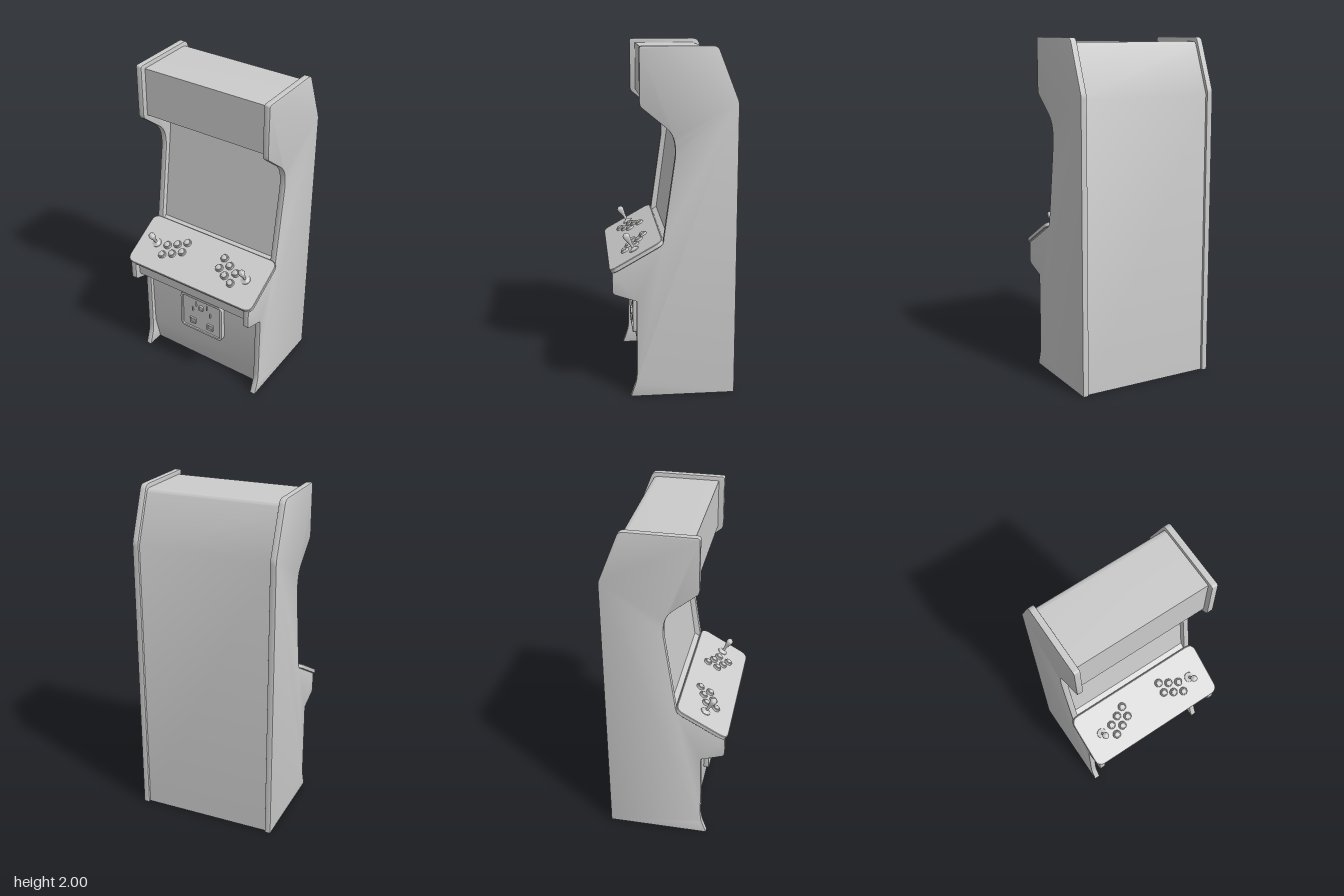
import * as THREE from 'three';
import { toCreasedNormals } from 'three/addons/utils/BufferGeometryUtils.js';

const grey = new THREE.MeshStandardMaterial({ color: 0xcccccc });

function add(parent, name, geometry, x = 0, y = 0, z = 0) {
  const mesh = new THREE.Mesh(geometry, grey);
  mesh.name = name;
  mesh.position.set(x, y, z);
  parent.add(mesh);
  return mesh;
}

// Extrudes a side profile drawn in (z, y) across the width, centred on x = 0
function acrossWidth(shape, width, bevel = 0) {
  const g = new THREE.ExtrudeGeometry(shape, {
    depth: width - 2 * bevel, curveSegments: 6, bevelEnabled: bevel > 0,
    bevelSize: bevel, bevelThickness: bevel, bevelOffset: -bevel, bevelSegments: 2,
  });
  g.translate(0, 0, bevel - width / 2);
  g.rotateY(-Math.PI / 2);
  return toCreasedNormals(g, 0.6);
}

function roundedRect(w, h, r, Type = THREE.Shape) {
  const s = new Type(), x = w / 2, y = h / 2;
  s.moveTo(-x + r, -y);
  s.lineTo(x - r, -y).quadraticCurveTo(x, -y, x, -y + r);
  s.lineTo(x, y - r).quadraticCurveTo(x, y, x - r, y);
  s.lineTo(-x + r, y).quadraticCurveTo(-x, y, -x, y - r);
  s.lineTo(-x, -y + r).quadraticCurveTo(-x, -y, -x + r, -y);
  return s;
}

// Rounded frame with an opening, facing +z
function frame(w, h, r, border, depth, bevel) {
  const s = roundedRect(w, h, r);
  s.holes.push(roundedRect(w - 2 * border, h - 2 * border, Math.max(r - border, 0.003), THREE.Path));
  return toCreasedNormals(new THREE.ExtrudeGeometry(s, {
    depth: depth - bevel, curveSegments: 5, bevelEnabled: true,
    bevelSize: bevel, bevelThickness: bevel, bevelOffset: -bevel, bevelSegments: 2,
  }), 0.6);
}

function lathe(points, segments = 24) {
  const g = new THREE.LatheGeometry(points.map(([r, y]) => new THREE.Vector2(r, y)), segments);
  return toCreasedNormals(g, 0.7);
}

function sideProfile() {
  const s = new THREE.Shape();
  s.moveTo(-0.36, 0);
  s.lineTo(0.243, 0);
  s.lineTo(0.216, 0.08).quadraticCurveTo(0.208, 0.11, 0.207, 0.15);
  s.lineTo(0.205, 0.58);
  s.lineTo(0.325, 0.622).quadraticCurveTo(0.342, 0.628, 0.342, 0.645);
  s.lineTo(0.342, 0.757);
  s.lineTo(0.055, 0.92);
  s.lineTo(0.052, 0.95);
  s.lineTo(-0.012, 1.41);
  s.bezierCurveTo(-0.014, 1.49, 0, 1.53, 0.04, 1.565);
  s.lineTo(0.17, 1.672).quadraticCurveTo(0.183, 1.684, 0.183, 1.705);
  s.lineTo(0.183, 1.985).quadraticCurveTo(0.183, 2, 0.168, 2);
  s.lineTo(-0.21, 2).quadraticCurveTo(-0.24, 2, -0.25, 1.975);
  s.lineTo(-0.355, 1.71).quadraticCurveTo(-0.36, 1.695, -0.36, 1.68);
  s.closePath();
  return s;
}

function bodyProfile() {
  const s = new THREE.Shape();
  s.moveTo(-0.345, 0);
  s.lineTo(0.14, 0);
  s.lineTo(0.178, 0.17);
  s.lineTo(0.183, 0.59);
  s.lineTo(0.305, 0.65);
  s.lineTo(0.312, 0.765);
  s.lineTo(0.02, 0.93);
  s.lineTo(-0.067, 1.585);
  s.lineTo(0.15, 1.69);
  s.lineTo(0.15, 1.975);
  s.lineTo(-0.205, 1.975).quadraticCurveTo(-0.23, 1.975, -0.238, 1.955);
  s.lineTo(-0.345, 1.68);
  s.closePath();
  return s;
}

// Sloped deck; local y is its normal, local z runs down towards the player
function createControlDeck() {
  const deck = new THREE.Group();
  deck.name = 'controlDeck';
  const slope = Math.atan2(0.17, 0.3), run = Math.cos(slope);
  deck.position.set(0, 0.855, 0.21);
  deck.rotation.x = slope;

  const plate = new THREE.ExtrudeGeometry(roundedRect(0.89, 0.342, 0.05), {
    depth: 0.02, curveSegments: 6, bevelEnabled: true,
    bevelSize: 0.003, bevelThickness: 0.003, bevelOffset: -0.003, bevelSegments: 1,
  });
  plate.rotateX(-Math.PI / 2);
  add(deck, 'controlPanel', toCreasedNormals(plate, 0.6), 0, -0.023, 0);

  const stick = lathe([[0, 0.002], [0.03, 0.002], [0.029, 0.006], [0.014, 0.011], [0.008, 0.018],
    [0.009, 0.04], [0.014, 0.065], [0.02, 0.088], [0.019, 0.1], [0.012, 0.109], [0, 0.112]]);
  const button = lathe([[0.025, 0], [0.025, 0.006], [0.022, 0.011], [0.018, 0.011],
    [0.017, 0.008], [0.016, 0.015], [0.012, 0.018], [0, 0.019]]);
  const columns = [[0.247, 0.2], [0.19, 0.175], [0.135, 0.147]];
  for (const side of [-1, 1]) {
    add(deck, 'joystick', stick, side * 0.322, 0, 0);
    for (const [x, z] of columns) {
      for (const row of [0, 0.059]) {
        add(deck, 'button', button, side * x, 0, (z + row - 0.21) / run);
      }
    }
  }
  return deck;
}

function createCoinDoor() {
  const door = new THREE.Group();
  door.name = 'coinDoor';
  door.position.set(0, 0.413, 0.178);
  add(door, 'coinDoorFrame', frame(0.31, 0.27, 0.03, 0.016, 0.034, 0.005));
  const panel = new THREE.ExtrudeGeometry(roundedRect(0.29, 0.25, 0.02), { depth: 0.024, bevelEnabled: false });
  add(door, 'coinDoorPanel', panel);
  add(door, 'lockFrame', frame(0.03, 0.034, 0.004, 0.005, 0.014, 0.002), 0, 0.064, 0.023);
  add(door, 'lock', new THREE.BoxGeometry(0.02, 0.024, 0.012), 0, 0.064, 0.028);
  for (const side of [-1, 1]) {
    add(door, 'coinReturnFrame', frame(0.044, 0.044, 0.004, 0.006, 0.012, 0.002), side * 0.065, -0.063, 0.023);
    add(door, 'coinReturnFlap', new THREE.BoxGeometry(0.032, 0.032, 0.008), side * 0.065, -0.063, 0.024).rotation.x = 0.12;
    add(door, 'coinSlot', new THREE.BoxGeometry(0.006, 0.034, 0.008), side * 0.04, 0.082, 0.026);
    add(door, 'coinRejectSlot', new THREE.BoxGeometry(0.008, 0.03, 0.01), side * 0.065, 0.032, 0.026);
  }
  return door;
}

export function createModel() {
  const cabinet = new THREE.Group();
  cabinet.name = 'arcadeCabinet';

  add(cabinet, 'cabinetBody', acrossWidth(bodyProfile(), 0.79));
  const panel = acrossWidth(sideProfile(), 0.036, 0.004);
  for (const side of [-1, 1]) {
    add(cabinet, side > 0 ? 'leftSidePanel' : 'rightSidePanel', panel, side * 0.409);
  }

  // Speakers on the sloped underside of the header
  const speaker = lathe([[0.084, 0], [0.084, 0.004], [0.08, 0.006], [0.077, 0.002], [0, 0.002]], 32);
  const tilt = Math.atan2(0.105, 0.217);
  for (const side of [-1, 1]) {
    const s = add(cabinet, 'speaker', speaker, side * 0.237, 1.6375, 0.0415);
    s.rotation.x = Math.PI - tilt;
  }

  cabinet.add(createControlDeck(), createCoinDoor());
  return cabinet;
}
